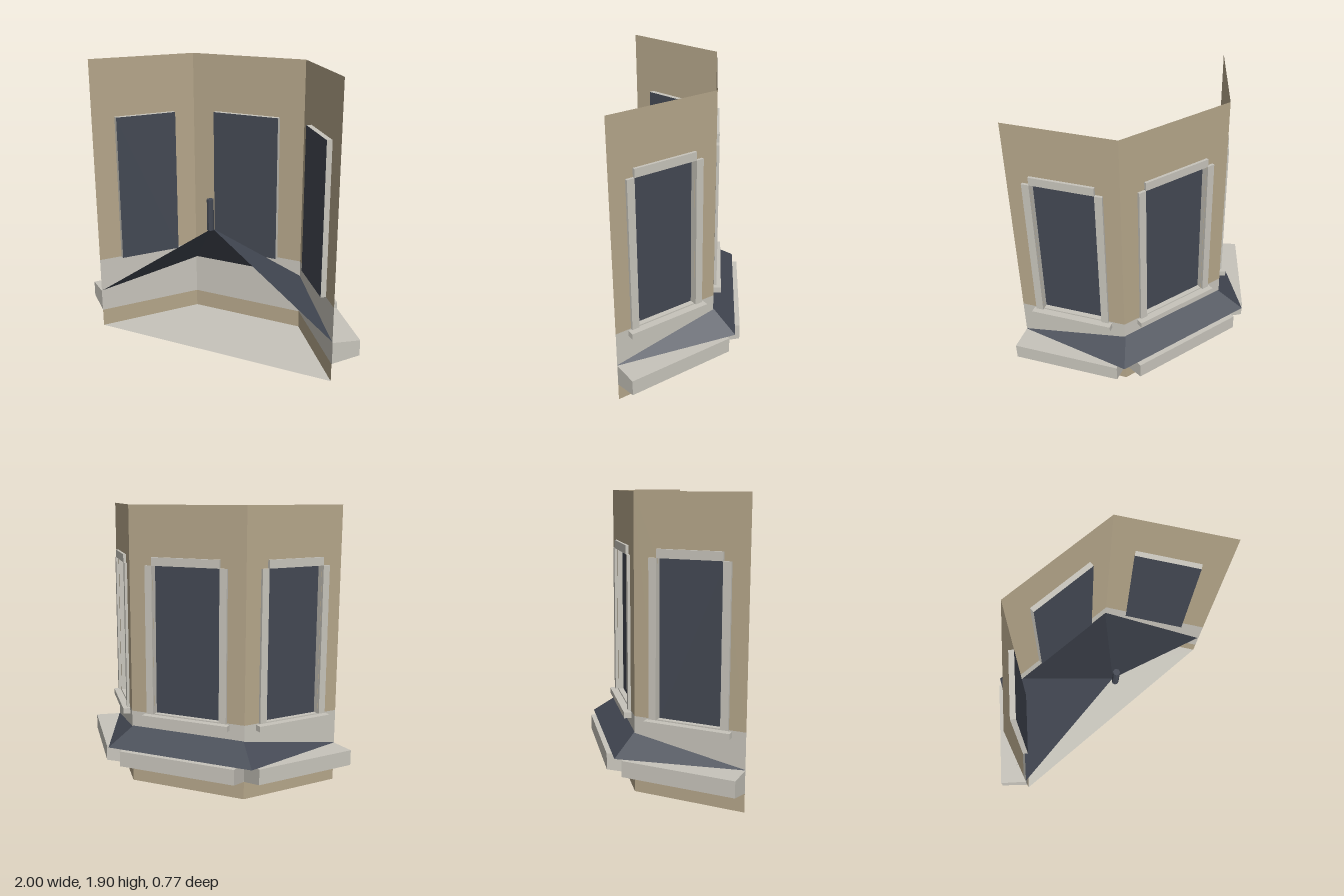
import * as THREE from 'three';

const mat = (name, color) => {
  const m = new THREE.MeshStandardMaterial({ color, side: THREE.DoubleSide });
  m.name = name;
  return m;
};

export function createModel() {
  const stone = mat('tan wall', 0xb5a68a);
  const trim = mat('pale trim', 0xc7c4bb);
  const slate = mat('dark slate', 0x434853);

  const model = new THREE.Group();
  model.name = 'bayWindow';
  const add = (parent, name, geo, material, x = 0, y = 0, z = 0) => {
    const m = new THREE.Mesh(geo, material);
    m.name = name;
    m.position.set(x, y, z);
    parent.add(m);
    return m;
  };
  const box = (w, h, d) => new THREE.BoxGeometry(w, h, d);
  const plane = (w, h) => new THREE.PlaneGeometry(w, h);

  // Heights shared by all three walls
  const H = 1.9, BAND0 = 0.12, Y0 = 0.505, Y1 = 1.51, RECESS = 0.035;
  const winH = Y1 - Y0, winY = (Y0 + Y1) / 2;

  // Wall panel in its own frame: x along the wall, z pointing outwards
  function wall(name, a, b, winW) {
    const dx = b[0] - a[0], dz = b[1] - a[1];
    const L = Math.hypot(dx, dz), h = winW / 2;
    const g = new THREE.Group();
    g.name = name;
    g.position.set((a[0] + b[0]) / 2, 0, (a[1] + b[1]) / 2);
    g.rotation.y = Math.atan2(dz, -dx);
    model.add(g);

    // Wall sheet with a notch for the window, plus the pale band and base
    const upper = new THREE.Shape([
      [-L / 2, Y0], [-h, Y0], [-h, Y1], [h, Y1], [h, Y0], [L / 2, Y0], [L / 2, H], [-L / 2, H],
    ].map(p => new THREE.Vector2(...p)));
    add(g, 'upperWall', new THREE.ShapeGeometry(upper), stone);
    add(g, 'wallBand', plane(L, Y0 - BAND0), trim, 0, (Y0 + BAND0) / 2);
    add(g, 'wallBase', plane(L, BAND0), stone, 0, BAND0 / 2);

    // Recessed glass and its reveals
    add(g, 'glass', plane(winW, winH), slate, 0, winY, -RECESS);
    for (const s of [-1, 1]) {
      add(g, 'sideReveal', plane(RECESS, winH), trim, s * h, winY, -RECESS / 2)
        .rotation.y = -s * Math.PI / 2;
      add(g, 'flatReveal', plane(winW, RECESS), trim, 0, winY + s * winH / 2, -RECESS / 2)
        .rotation.x = s * Math.PI / 2;
      add(g, 'windowJamb', box(0.05, winH, 0.018), trim, s * (h + 0.025), winY, 0.011);
    }
    add(g, 'windowLintel', box(winW, 0.055, 0.018), trim, 0, Y1 + 0.0275, 0.011);
    add(g, 'windowSill', box(winW + 0.14, 0.038, 0.048), trim, 0, 0.479, 0.026);

    // Ledge with a sloping underside
    const profile = new THREE.Shape([
      [0.002, 0.122], [0.18, 0.163], [0.18, 0.268], [0.002, 0.268],
    ].map(p => new THREE.Vector2(...p)));
    const ledge = new THREE.ExtrudeGeometry(profile, { depth: L, bevelEnabled: false });
    ledge.rotateY(-Math.PI / 2);
    add(g, 'ledge', ledge, trim, L / 2);
  }

  const plan = [[-0.858, 0.385], [-0.413, -0.205], [0.413, -0.205], [0.858, 0.385]];
  wall('rightWall', plan[0], plan[1], 0.424);
  wall('backWall', plan[1], plan[2], 0.48);
  wall('leftWall', plan[2], plan[3], 0.424);

  // Floor
  const floor = new THREE.ShapeGeometry(
    new THREE.Shape(plan.map(([x, z]) => new THREE.Vector2(x, -z))));
  floor.rotateX(-Math.PI / 2);
  add(model, 'floor', floor, trim);

  // Three-sided skirt roof rising to a single apex
  const eave = [[-0.858, 0.27, 0.38], [-0.52, 0.27, -0.352], [0.52, 0.27, -0.352], [0.858, 0.27, 0.38]];
  const apex = [0, 0.86, 0.322];
  const pts = [];
  for (let i = 0; i < 3; i++) pts.push(...eave[i + 1], ...eave[i], ...apex);
  const roof = new THREE.BufferGeometry();
  roof.setAttribute('position', new THREE.Float32BufferAttribute(pts, 3));
  roof.computeVertexNormals();
  add(model, 'roof', roof, slate);

  // Finial
  const finial = new THREE.CylinderGeometry(0.023, 0.023, 0.205, 8).toNonIndexed();
  finial.computeVertexNormals();
  add(model, 'finial', finial, slate, 0, 0.9625, 0.348);

  return model;
}
